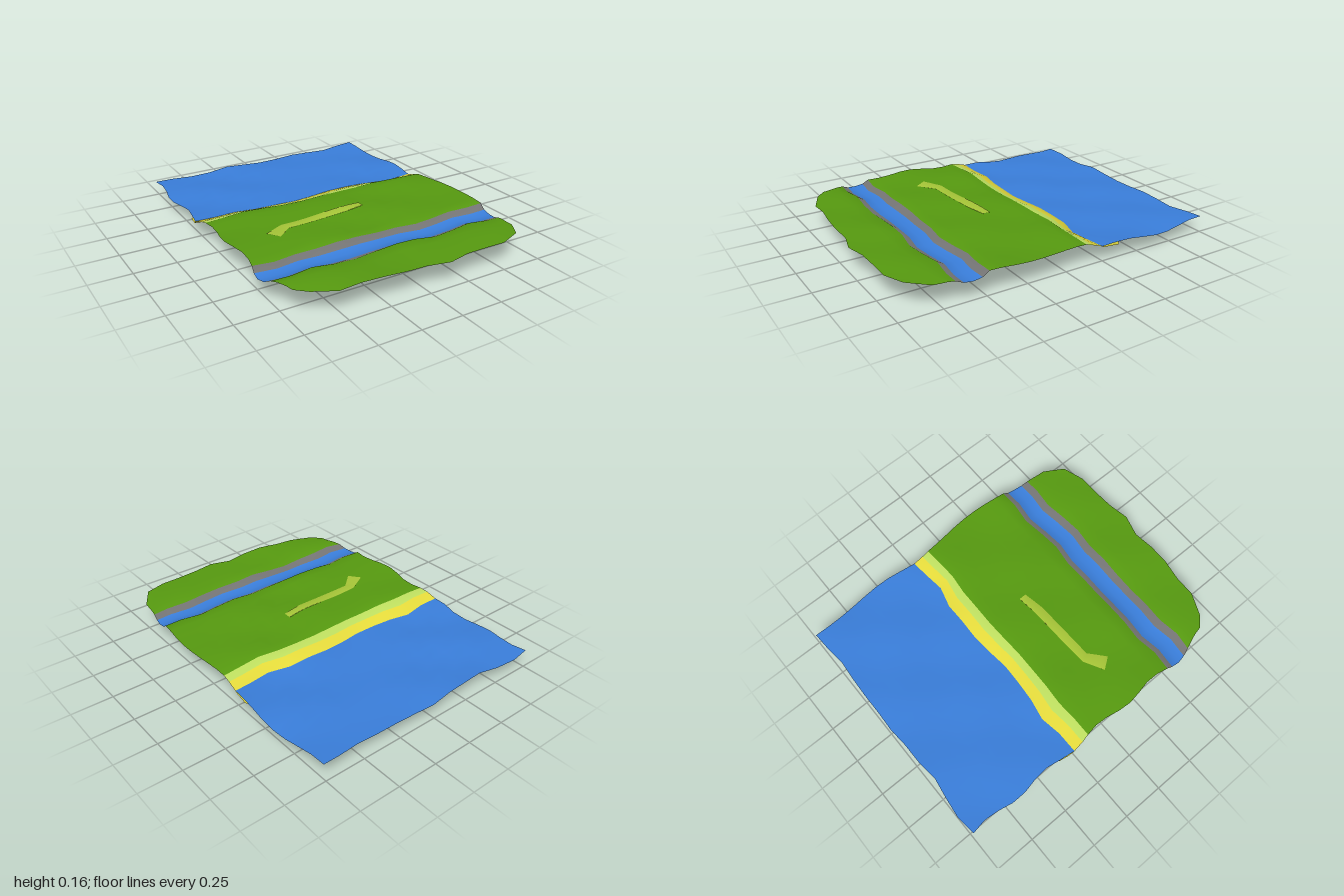
import * as THREE from 'three';

const mat = (name, color) => new THREE.MeshStandardMaterial({ name, color, side: THREE.DoubleSide });
const COLS = 13;
const lerp = THREE.MathUtils.lerp;

// outlines, one value per column from right (-x) to left (+x)
const frontEdge = [0.82, 0.88, 0.94, 0.94, 0.96, 0.965, 0.955, 0.99, 0.965, 0.96, 0.96, 0.915, 0.80];
const coastEdge = [-0.25, -0.25, -0.27, -0.245, -0.235, -0.23, -0.245, -0.255, -0.25, -0.25, -0.215, -0.23, -0.24];
const backEdge = [-0.985, -1, -0.985, -0.965, -0.98, -0.98, -0.99, -0.985, -0.985, -0.98, -0.97, -0.985, -0.99];
const bedEdge = [-0.35, -0.44, -0.53, -0.57, -0.55, -0.54, -0.55, -0.56, -0.55, -0.56, -0.54, -0.45, -0.35];
const bedDepth = [0.085, 0.045, 0.004, 0.016, 0.034, 0.028, 0.028, 0.03, 0.03, 0.015, 0.004, 0.03, 0.09];
const bankWobble = [0, 0.013, -0.006, 0.004, 0.002, 0, 0.003, 0, 0.018, 0.006, -0.012, 0.004, 0];

// gentle rolling of the ground and side edges
const roll = (x, z) => 0.008 * Math.cos(x * 12) * Math.cos(z * 9) + 0.005 * Math.sin(z * 13 - x * 7);
const sideX = (c, z) => {
  const x = (c - 6) * 0.13;
  if (c > 0 && c < COLS - 1) return x;
  const wave = 0.77 + 0.015 * Math.cos((z + (c ? 0.55 : 0.25)) * (c ? 8 : 15));
  return Math.sign(x) * (wave - Math.max(0, z - 0.6) * 0.2);
};

// rows of points joined into a smooth sheet; bands give each strip its material index
function sheet(name, rows, bands, materials) {
  const pos = [], index = [];
  const g = new THREE.BufferGeometry();
  rows.forEach(row => row.forEach(p => pos.push(...p)));
  const n = rows[0].length;
  for (let r = 0; r < rows.length - 1; r++) {
    g.addGroup(index.length, (n - 1) * 6, bands[r]);
    for (let c = 0; c < n - 1; c++) {
      const a = r * n + c, b = a + n;
      index.push(a, a + 1, b + 1, a, b + 1, b);
    }
  }
  g.setAttribute('position', new THREE.Float32BufferAttribute(pos, 3));
  g.setIndex(index);
  g.computeVertexNormals();
  const mesh = new THREE.Mesh(g, materials);
  mesh.name = name;
  return mesh;
}

const makeRow = (zOf, yOf) => Array.from({ length: COLS }, (_, c) => {
  const z = zOf(c), x = sideX(c, z);
  return [x, yOf(c, x, z), z];
});

export function createModel() {
  const group = new THREE.Group();
  const grass = mat('grass green', 0x579b10);
  const water = mat('water blue', 0x3a7fdc);
  const stone = mat('bank grey', 0x757575);
  const sand = mat('sand yellow', 0xe6dc3c);
  const dune = mat('dune pale green', 0xbfe060);
  const path = mat('path lime', 0xa8c738);
  const landMats = [grass, stone, water, dune, sand];

  // land from the front edge back to the coast
  const rows = [], bands = [];
  const add = (band, zOf, yOf) => { rows.push(makeRow(zOf, yOf)); bands.push(band); };
  const ground = h => (c, x, z) => h + roll(x, z);
  for (const t of [1, 0.65, 0.3]) {
    add(0, c => lerp(0.675, frontEdge[c], t), ground(0.149));
  }
  // stream between two stony banks
  add(1, c => 0.675 + bankWobble[c], ground(0.142));
  add(2, c => 0.632 + bankWobble[c], (c, x, z) => 0.119 + roll(x, z) * 0.5);
  add(2, c => 0.58 + bankWobble[c], (c, x, z) => 0.114 + roll(x, z) * 0.5);
  add(1, c => 0.53 + bankWobble[c], (c, x, z) => 0.122 + roll(x, z) * 0.5);
  add(0, c => 0.492 + bankWobble[c], ground(0.146));
  // meadow
  for (const z of [0.42, 0.34, 0.26, 0.18, 0.1, 0.02, -0.06]) add(0, () => z, ground(0.148));
  // shore
  const coastY = (c, x, z) => 0.1 + roll(x, z) * 0.6;
  add(3, c => coastEdge[c] * 0.4 - 0.033, ground(0.143));
  add(4, c => coastEdge[c] * 0.7 - 0.008, ground(0.126));
  add(4, c => coastEdge[c], coastY);
  // sea bed sloping down under the water
  for (const [t, d] of [[0.12, 0.5], [0.5, 0.72], [1, 1]]) {
    add(4, c => lerp(coastEdge[c], bedEdge[c], t), (c, x, z) => lerp(0.096, bedDepth[c], d));
  }
  group.add(sheet('land', rows, bands, landMats));

  // sea
  const seaRows = [];
  for (let i = 0; i <= 8; i++) {
    seaRows.push(makeRow(c => lerp(coastEdge[c], backEdge[c], i / 8),
      (c, x, z) => i ? 0.098 + roll(x, z) * 1.1 : coastY(c, x, z)));
  }
  group.add(sheet('sea', seaRows, seaRows.map(() => 0), [water]));

  // footpath: a thin closed strip lying in the meadow
  const track = [[-0.515, 0.235, -0.025, -0.035], [-0.405, 0.16, -0.012, -0.026], [-0.2, 0.152, 0, -0.028],
    [0, 0.143, 0, -0.028], [0.13, 0.125, 0, -0.022]];
  const ring = [[-1, -1], [1, -1], [1, 1], [-1, 1], [-1, -1]];
  const pathRows = [];
  for (let i = 0; i < track.length - 1; i++) {
    for (let s = 0; s < 4 + (i === track.length - 2 ? 1 : 0); s++) {
      const [x, z, dx, dz] = track[i].map((v, k) => lerp(v, track[i + 1][k], s / 4));
      pathRows.push(ring.map(([side, up]) => {
        const px = x + side * dx, pz = z + side * dz;
        return [px, 0.148 + roll(px, pz) + up * 0.0035, pz];
      }));
    }
  }
  group.add(sheet('footpath', pathRows, pathRows.map(() => 0), [path]));
  return group;
}
